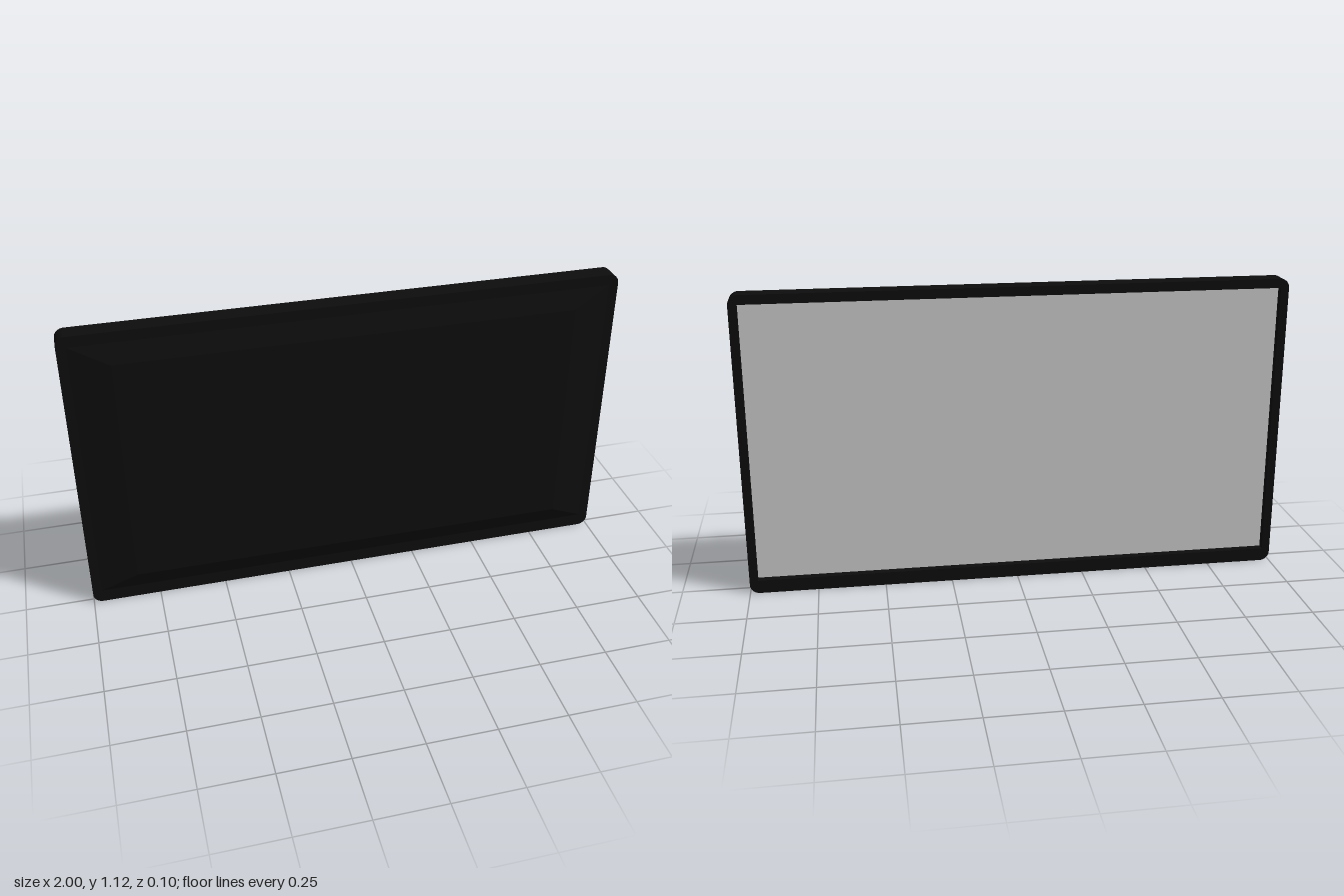
import * as THREE from 'three';

const W = 2, H = 1.12, R = 0.035;
const BACK = -0.05, SCREEN = -0.022, FRONT = 0.02, HUMP = 0.047;
const BEZEL = { side: 0.03, top: 0.034, bottom: 0.05 };

// Rounded outline of the slab, standing on y = 0
function outline() {
  const s = new THREE.Shape(), x = W / 2;
  s.absarc(x - R, R, R, -Math.PI / 2, 0);
  s.absarc(x - R, H - R, R, 0, Math.PI / 2);
  s.absarc(-x + R, H - R, R, Math.PI / 2, Math.PI);
  s.absarc(-x + R, R, R, Math.PI, Math.PI * 1.5);
  s.closePath();
  return s;
}

function slab(shape, z0, z1) {
  const g = new THREE.ExtrudeGeometry(shape, { depth: z1 - z0, bevelEnabled: false, curveSegments: 6 });
  return g.translate(0, 0, z0);
}

export function createModel() {
  const group = new THREE.Group();
  const black = new THREE.MeshStandardMaterial({ color: 0x0d0d0d });
  const grey = new THREE.MeshStandardMaterial({ color: 0xcccccc });
  const add = (name, geometry, material) => {
    const mesh = new THREE.Mesh(geometry, material);
    mesh.name = name;
    group.add(mesh);
    return mesh;
  };

  // Main casing
  add('housing', slab(outline(), SCREEN, FRONT), black);

  // Raised rim around the recessed screen
  const rim = outline();
  const x = W / 2 - BEZEL.side, y0 = BEZEL.bottom, y1 = H - BEZEL.top;
  rim.holes.push(new THREE.Path([
    new THREE.Vector2(-x, y0), new THREE.Vector2(-x, y1),
    new THREE.Vector2(x, y1), new THREE.Vector2(x, y0),
  ]));
  add('bezel', slab(rim, BACK, SCREEN), black);

  // Display panel, facing -z
  const screen = add('screen', new THREE.PlaneGeometry(2 * x, y1 - y0), grey);
  screen.rotation.y = Math.PI;
  screen.position.set(0, (y0 + y1) / 2, SCREEN - 0.001);

  // Sloped cover: a box whose outer face is drawn inwards
  const cover = new THREE.BoxGeometry(1.93, 1.03, HUMP - FRONT).toNonIndexed();
  const p = cover.attributes.position;
  for (let i = 0; i < p.count; i++) {
    if (p.getZ(i) > 0) p.setXY(i, Math.sign(p.getX(i)) * 0.83, Math.sign(p.getY(i)) * 0.445);
  }
  cover.computeVertexNormals();
  add('cover', cover, black).position.set(0, 0.565, (FRONT + HUMP) / 2);

  return group;
}
